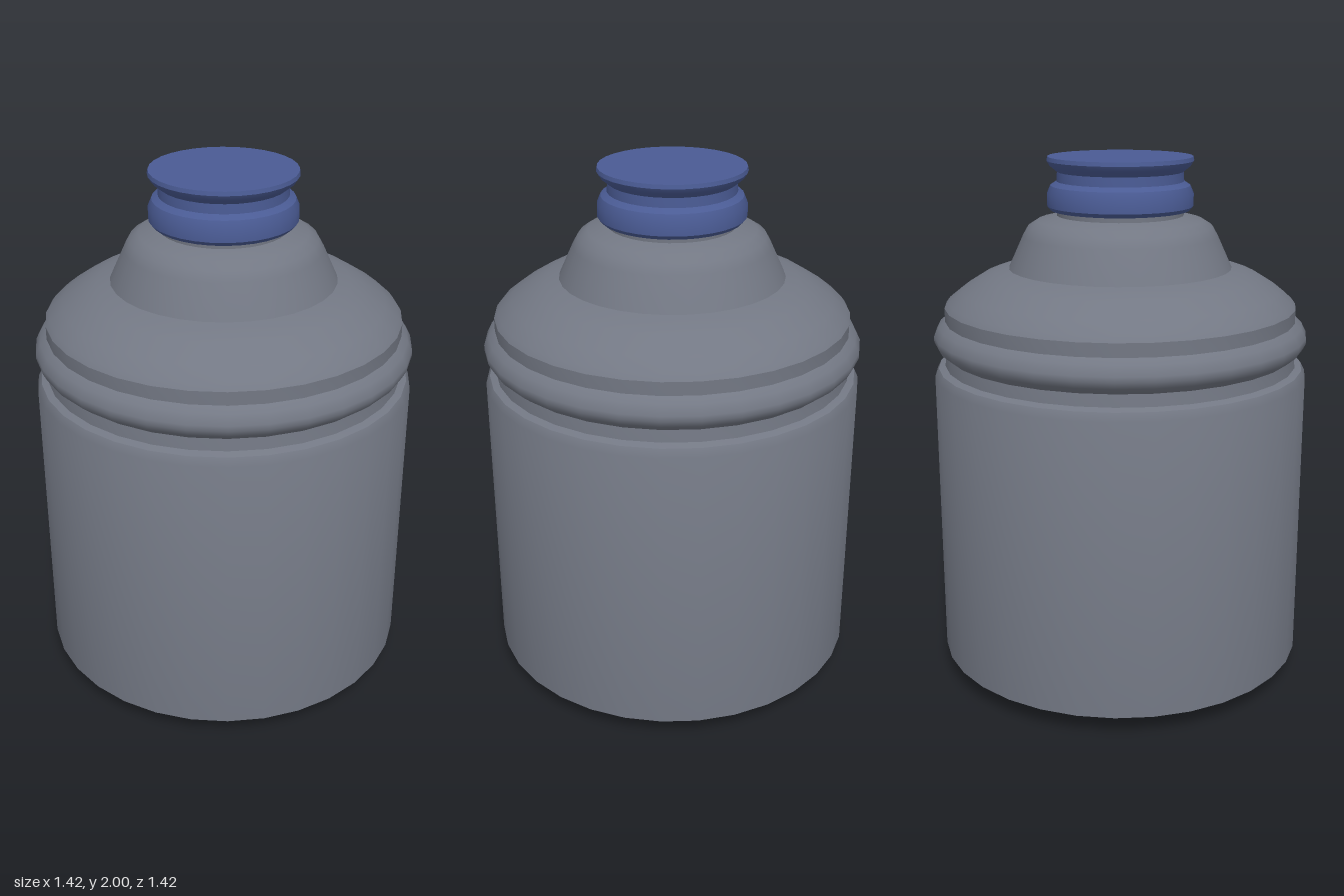
import * as THREE from 'three';
import { toCreasedNormals } from 'three/addons/utils/BufferGeometryUtils.js';

const grey = new THREE.MeshStandardMaterial({ name: 'grey plastic', color: 0x737884 });
const blue = new THREE.MeshStandardMaterial({ name: 'blue plastic', color: 0x4a5b94 });

// Turned part from a profile of [radius, height] points
function turned(name, profile, material) {
  const points = profile.map(([r, y]) => new THREE.Vector2(r, y));
  const geometry = toCreasedNormals(new THREE.LatheGeometry(points, 32), 0.55);
  const mesh = new THREE.Mesh(geometry, material);
  mesh.name = name;
  return mesh;
}

export function createModel() {
  const group = new THREE.Group();
  group.name = 'bottle';

  // Underside: central spike in a deep well, recessed ring and foot
  group.add(turned('base', [
    [0, 0.02], [0.2, 0.34], [0.225, 0.04], [0.41, 0.04], [0.457, 0],
    [0.51, 0], [0.58, 0.008], [0.71, 0.08],
  ], grey));

  // Straight wall with a narrow groove above it
  group.add(turned('body', [
    [0.71, 0.08], [0.71, 1.19], [0.695, 1.22], [0.67, 1.23], [0.665, 1.275],
  ], grey));

  // Bulging grip ring
  group.add(turned('gripRing', [
    [0.665, 1.275], [0.695, 1.3], [0.708, 1.325], [0.708, 1.345],
    [0.69, 1.38], [0.665, 1.4],
  ], grey));

  // Domed shoulder, raised collar and neck
  group.add(turned('shoulder', [
    [0.665, 1.4], [0.665, 1.45], [0.65, 1.47], [0.6, 1.51], [0.52, 1.56],
    [0.47, 1.578], [0.42, 1.59], [0.365, 1.71], [0.345, 1.745],
    [0.31, 1.767], [0.237, 1.785], [0.237, 1.82],
  ], grey));

  // Pull cap with rounded lower bead and flared lid
  group.add(turned('cap', [
    [0.225, 1.805], [0.26, 1.805], [0.273, 1.82], [0.273, 1.865],
    [0.26, 1.895], [0.237, 1.91], [0.235, 1.945], [0.262, 1.967],
    [0.273, 1.985], [0.27, 2], [0, 2],
  ], blue));

  return group;
}
